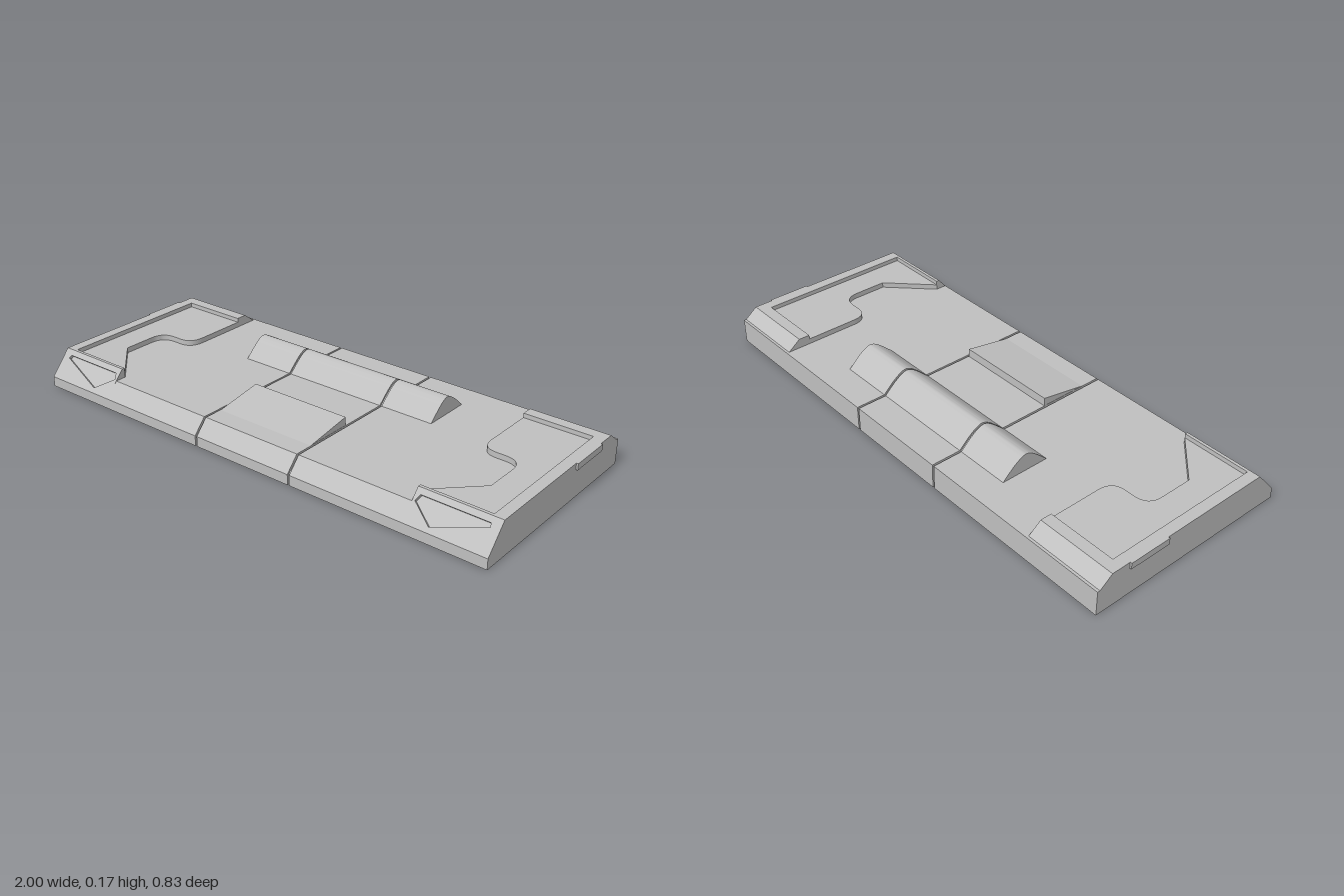
import * as THREE from 'three';
import { toCreasedNormals } from 'three/addons/utils/BufferGeometryUtils.js';

const DECK = 0.097, PAD = 0.118, RIM = 0.135;   // heights
const HALF = 0.993, END = 0.68, BUMP = 0.435;   // half widths
const FRONT = 0.415, BACK = -0.415, DECK_FRONT = 0.365;

const grey = new THREE.MeshStandardMaterial({ color: 0xbfbfbf, side: THREE.DoubleSide });
grey.name = 'panel grey';

const V = (x, y, z) => new THREE.Vector3(x, y, z);
const shapeOf = pts => new THREE.Shape(pts.map(p => new THREE.Vector2(p[0], p[1])));

function add(parent, name, geometry) {
  const mesh = new THREE.Mesh(geometry, grey);
  mesh.name = name;
  parent.add(mesh);
  return mesh;
}

// Open sheet lofted through rows of points
function loft(rows) {
  const n = rows[0].length, index = [];
  for (let i = 0; i < rows.length - 1; i++)
    for (let j = 0; j < n - 1; j++) {
      const a = i * n + j, b = a + n;
      index.push(a, b, a + 1, b, b + 1, a + 1);
    }
  const g = new THREE.BufferGeometry().setFromPoints(rows.flat());
  g.setIndex(index);
  return toCreasedNormals(g, 0.45);
}

// Profile of [z, y] points swept straight along x
const sweep = (profile, x0, x1) =>
  loft([x0, x1].map(x => profile.map(([z, y]) => V(x, y, z))));

// Flat face from [z, y] points, standing at x
function sideFace(pts, x) {
  const m = new THREE.Matrix4().makeBasis(V(0, 0, 1), V(0, 1, 0), V(-1, 0, 0)).setPosition(x, 0, 0);
  return new THREE.ShapeGeometry(shapeOf(pts)).applyMatrix4(m);
}

// Flat face from [x, z] points, lying at height y
function levelFace(pts, y) {
  const m = new THREE.Matrix4().makeBasis(V(1, 0, 0), V(0, 0, -1), V(0, 1, 0)).setPosition(0, y, 0);
  return new THREE.ShapeGeometry(shapeOf(pts.map(([x, z]) => [x, -z]))).applyMatrix4(m);
}

// Upright ribbon along [x, z] points
const ribbon = (pts, y0, y1) => loft([y0, y1].map(y => pts.map(([x, z]) => V(x, y, z))));

// Rounded ridge cross-section, front to back
const ridge = new THREE.SplineCurve([
  [-0.1, DECK], [-0.14, 0.134], [-0.17, 0.157], [-0.196, 0.166], [-0.222, 0.157], [-0.255, 0.134], [-0.295, DECK],
].map(p => new THREE.Vector2(...p))).getPoints(24).map(p => [p.x, p.y]);

// S-shaped edge between deck and end pad, back to front
function padEdge() {
  const path = new THREE.Path();
  path.moveTo(END, -0.31);
  path.lineTo(END, -0.1);
  path.quadraticCurveTo(END, -0.035, 0.74, -0.035);
  path.lineTo(0.775, -0.035);
  path.quadraticCurveTo(0.84, -0.035, 0.84, 0.03);
  path.lineTo(0.84, 0.16);
  path.lineTo(END, 0.32);
  return path.getPoints(8).map(p => [p.x, p.y]);
}

// Middle section with two thin grooves across it
function centre(group) {
  const profile = [[FRONT, 0], [FRONT, 0.04], [DECK_FRONT, DECK], ...ridge, [BACK, DECK], [BACK, 0]];
  const stations = [[-BUMP, 0]];
  for (const x of [-0.215, 0.215])
    stations.push([x - 0.004, 0], [x - 0.004, 0.009], [x + 0.004, 0.009], [x + 0.004, 0]);
  stations.push([BUMP, 0]);
  add(group, 'centreShell', loft(stations.map(([x, d]) =>
    profile.map(([z, y]) => V(x, y > 0.05 ? y - d : y, z - Math.sign(z) * (Math.abs(z) > 0.3 ? d : 0))))));

  // Low wedge on the deck
  const wedge = new THREE.ExtrudeGeometry(shapeOf([[0.29, DECK], [0.1, 0.13], [0.1, DECK]]),
    { depth: 0.42, bevelEnabled: false });
  wedge.applyMatrix4(new THREE.Matrix4()
    .makeBasis(V(0, 0, 1), V(0, 1, 0), V(-1, 0, 0)).setPosition(0.21, 0, 0));
  // makeBasis keeps handedness, so the wedge faces outwards
  add(group, 'deckWedge', wedge);
}

// Sloped corner face with a sunken angular inset
function cornerSlope(group) {
  const up = V(0, RIM - 0.04, 0.332 - FRONT), length = up.length();
  up.normalize();
  const normal = V(1, 0, 0).cross(up);
  const place = new THREE.Matrix4().makeBasis(V(1, 0, 0), up, normal)
    .setPosition(V(0, 0.04, FRONT).addScaledVector(normal, -0.012));
  const inset = [[0.7, 0.118], [0.955, 0.118], [0.96, 0.108], [0.77, 0.055], [0.69, 0.1]]
    .map(([x, y]) => [x, (y - 0.04) / up.y]);
  const panel = shapeOf([[END, 0], [HALF, 0], [HALF, length], [END, length]]);
  panel.holes.push(shapeOf(inset));
  add(group, 'cornerSlope', new THREE.ExtrudeGeometry(panel, { depth: 0.012, bevelEnabled: false })
    .applyMatrix4(place));
  add(group, 'cornerInset', new THREE.ShapeGeometry(shapeOf(inset)).applyMatrix4(place));
}

function endSection(name) {
  const g = new THREE.Group();
  g.name = name;
  const edge = padEdge();

  // Ridge end, deck and its front and back walls
  add(g, 'ridgeEnd', sideFace(ridge, BUMP));
  add(g, 'deck', levelFace([[BUMP, BACK], [END, BACK], ...edge, [END, DECK_FRONT], [BUMP, DECK_FRONT]], DECK));
  add(g, 'deckFront', sweep([[FRONT, 0], [FRONT, 0.04], [DECK_FRONT, DECK]], BUMP, END));
  add(g, 'deckBack', sweep([[BACK, 0], [BACK, DECK]], BUMP, END));

  // Raised pad with stepped edge
  add(g, 'pad', levelFace([[0.95, -0.31], ...edge, [0.95, 0.32]], PAD));
  add(g, 'padStep', ribbon(edge, DECK, PAD));

  // Rim around the pad
  add(g, 'backRim', sweep([[BACK, 0], [BACK, DECK], [-0.405, DECK], [-0.355, RIM], [-0.31, RIM], [-0.31, PAD]],
    END, HALF));
  add(g, 'backRimEnd', sideFace([[-0.405, DECK], [-0.355, RIM], [-0.31, RIM], [-0.31, DECK]], END));
  add(g, 'frontRim', sweep([[0.332, RIM], [0.32, RIM], [0.32, PAD]], END, HALF));
  add(g, 'frontRimEnd', sideFace([[DECK_FRONT, DECK], [0.332, RIM], [0.32, RIM], [0.32, DECK]], END));
  add(g, 'sideRim', loft([-0.31, 0.32].map(z => [V(HALF, RIM, z), V(0.95, RIM, z), V(0.95, PAD, z)])));

  // Outer walls and corner
  add(g, 'frontWall', sweep([[FRONT, 0], [FRONT, 0.04]], END, HALF));
  cornerSlope(g);
  add(g, 'sideWall', sideFace([[FRONT, 0], [FRONT, 0.04], [0.332, RIM], [-0.355, RIM],
    [-0.405, DECK], [BACK, DECK], [BACK, 0]], HALF));
  add(g, 'sideTab', new THREE.BoxGeometry(0.007, 0.025, 0.17)).position.set(0.9965, 0.1225, -0.195);
  return g;
}

export function createModel() {
  const model = new THREE.Group();
  model.name = 'panel';
  centre(model);
  model.add(endSection('leftEnd'));
  const right = endSection('rightEnd');
  right.scale.x = -1;
  model.add(right);
  return model;
}
